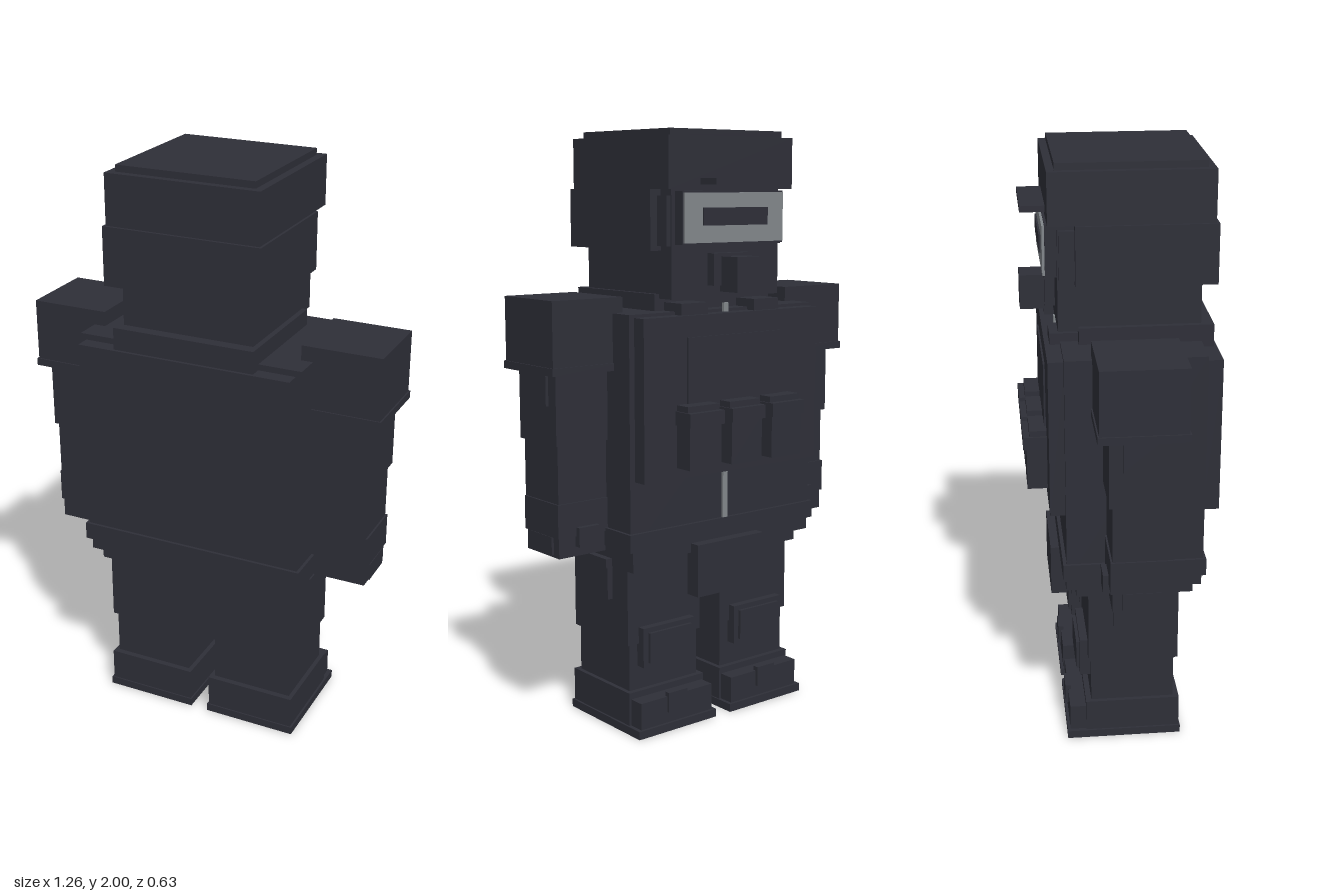
import * as THREE from 'three';

export function createModel() {
  const model = new THREE.Group();
  const dark = new THREE.MeshStandardMaterial({ color: 0x2e2f38 });
  dark.name = 'charcoal cloth';
  const grey = new THREE.MeshStandardMaterial({ color: 0x82878b });
  grey.name = 'grey metal';

  // box from its extents on each axis
  function box(parent, name, [x0, x1], [y0, y1], [z0, z1], mat = dark) {
    const m = new THREE.Mesh(new THREE.BoxGeometry(x1 - x0, y1 - y0, z1 - z0), mat);
    m.position.set((x0 + x1) / 2, (y0 + y1) / 2, (z0 + z1) / 2);
    m.name = name;
    parent.add(m);
  }
  // box centred on x = 0, given its half width
  const mid = (parent, name, w, y, z, mat) => box(parent, name, [-w, w], y, z, mat);
  function group(name) {
    const g = new THREE.Group();
    g.name = name;
    model.add(g);
    return g;
  }

  // head and helmet; the face looks toward -z
  const head = group('head');
  mid(head, 'face', 0.23, [1.46, 1.82], [-0.195, 0.265]);
  mid(head, 'helmetBand', 0.272, [1.615, 1.81], [-0.14, 0.31]);
  mid(head, 'helmetDome', 0.264, [1.81, 1.978], [-0.225, 0.3]);
  mid(head, 'helmetTop', 0.238, [1.978, 2], [-0.2, 0.275]);
  mid(head, 'helmetBrow', 0.135, [1.825, 1.845], [-0.305, -0.2]);
  mid(head, 'goggleFrame', 0.215, [1.635, 1.805], [-0.232, -0.19]);
  mid(head, 'gogglePlate', 0.21, [1.64, 1.8], [-0.24, -0.232], grey);
  mid(head, 'goggleSlot', 0.137, [1.695, 1.752], [-0.246, -0.24]);
  mid(head, 'maskBase', 0.08, [1.5, 1.605], [-0.228, -0.19]);
  mid(head, 'maskFilter', 0.048, [1.48, 1.595], [-0.308, -0.22]);

  // torso, vest and collar
  const torso = group('torso');
  mid(torso, 'jacket', 0.395, [0.645, 1.42], [-0.188, 0.265]);
  mid(torso, 'collar', 0.248, [1.4, 1.475], [-0.13, 0.305]);
  mid(torso, 'backPlate', 0.375, [0.88, 1.4], [0.26, 0.316]);
  mid(torso, 'chestPlate', 0.375, [0.88, 1.41], [-0.238, -0.185]);
  mid(torso, 'chestPanel', 0.2, [0.96, 1.34], [-0.244, -0.238]);
  mid(torso, 'zip', 0.01, [0.7, 1.44], [-0.197, -0.187], grey);
  mid(torso, 'jacketHem', 0.405, [0.65, 0.71], [-0.2, 0.275]);
  mid(torso, 'belt', 0.388, [0.608, 0.65], [-0.19, 0.262]);
  mid(torso, 'pelvis', 0.36, [0.565, 0.61], [-0.155, 0.238]);
  mid(torso, 'frontFlap', 0.145, [0.46, 0.64], [-0.228, -0.172]);

  // three chest pouches
  for (const x of [-0.177, 0, 0.177]) {
    box(torso, 'pouch', [x - 0.066, x + 0.066], [0.918, 1.07], [-0.305, -0.235]);
    box(torso, 'pouchFlap', [x - 0.072, x + 0.072], [1.06, 1.105], [-0.316, -0.235]);
    box(torso, 'pouchTop', [x - 0.066, x + 0.066], [1.1, 1.125], [-0.295, -0.235]);
  }

  for (const s of [1, -1]) {
    const side = s > 0 ? 'left' : 'right';
    // mirrors the x extents for the right side
    const add = (parent, name, [a, b], y, z) =>
      box(parent, name, s > 0 ? [a, b] : [-b, -a], y, z);

    add(head, side + 'CheekStrap', [0.2, 0.245], [1.63, 1.79], [-0.19, -0.14]);
    add(torso, side + 'CollarFlap', [0.1, 0.21], [1.41, 1.448], [-0.222, -0.12]);

    // arm
    const arm = group(side + 'Arm');
    add(arm, 'shoulderPad', [0.355, 0.625], [1.25, 1.47], [-0.1, 0.175]);
    add(arm, 'shoulderTrim', [0.355, 0.63], [1.235, 1.26], [-0.105, 0.18]);
    add(arm, 'upperArm', [0.385, 0.595], [1.005, 1.24], [-0.067, 0.145]);
    add(arm, 'armPatch', [0.58, 0.605], [1.13, 1.235], [-0.025, 0.1]);
    add(arm, 'forearm', [0.395, 0.584], [0.8, 1.01], [-0.056, 0.137]);
    add(arm, 'cuff', [0.39, 0.59], [0.7, 0.812], [-0.062, 0.135]);
    add(arm, 'hand', [0.4, 0.584], [0.632, 0.705], [-0.056, 0.13]);
    add(arm, 'knucklePad', [0.57, 0.592], [0.64, 0.7], [-0.025, 0.1]);
    add(arm, 'thumb', [0.44, 0.52], [0.665, 0.73], [-0.08, -0.05]);

    // leg and boot
    const leg = group(side + 'Leg');
    add(leg, 'thigh', [0.045, 0.355], [0.305, 0.57], [-0.115, 0.192]);
    add(leg, 'shin', [0.053, 0.343], [0.13, 0.31], [-0.106, 0.18]);
    add(leg, 'thighPocket', [0.34, 0.375], [0.45, 0.57], [-0.03, 0.105]);
    add(leg, 'thighPocketFlap', [0.34, 0.383], [0.56, 0.592], [-0.034, 0.109]);
    add(leg, 'kneePad', [0.09, 0.31], [0.225, 0.362], [-0.142, -0.1]);
    add(leg, 'kneePlate', [0.11, 0.29], [0.24, 0.345], [-0.153, -0.142]);
    add(leg, 'boot', [0.037, 0.358], [0.02, 0.142], [-0.125, 0.2]);
    add(leg, 'bootToe', [0.045, 0.35], [0.02, 0.12], [-0.18, -0.12]);
    add(leg, 'toePatch', [0.16, 0.24], [0.065, 0.135], [-0.19, -0.17]);
    add(leg, 'sole', [0.032, 0.365], [0, 0.028], [-0.19, 0.205]);
  }
  return model;
}
